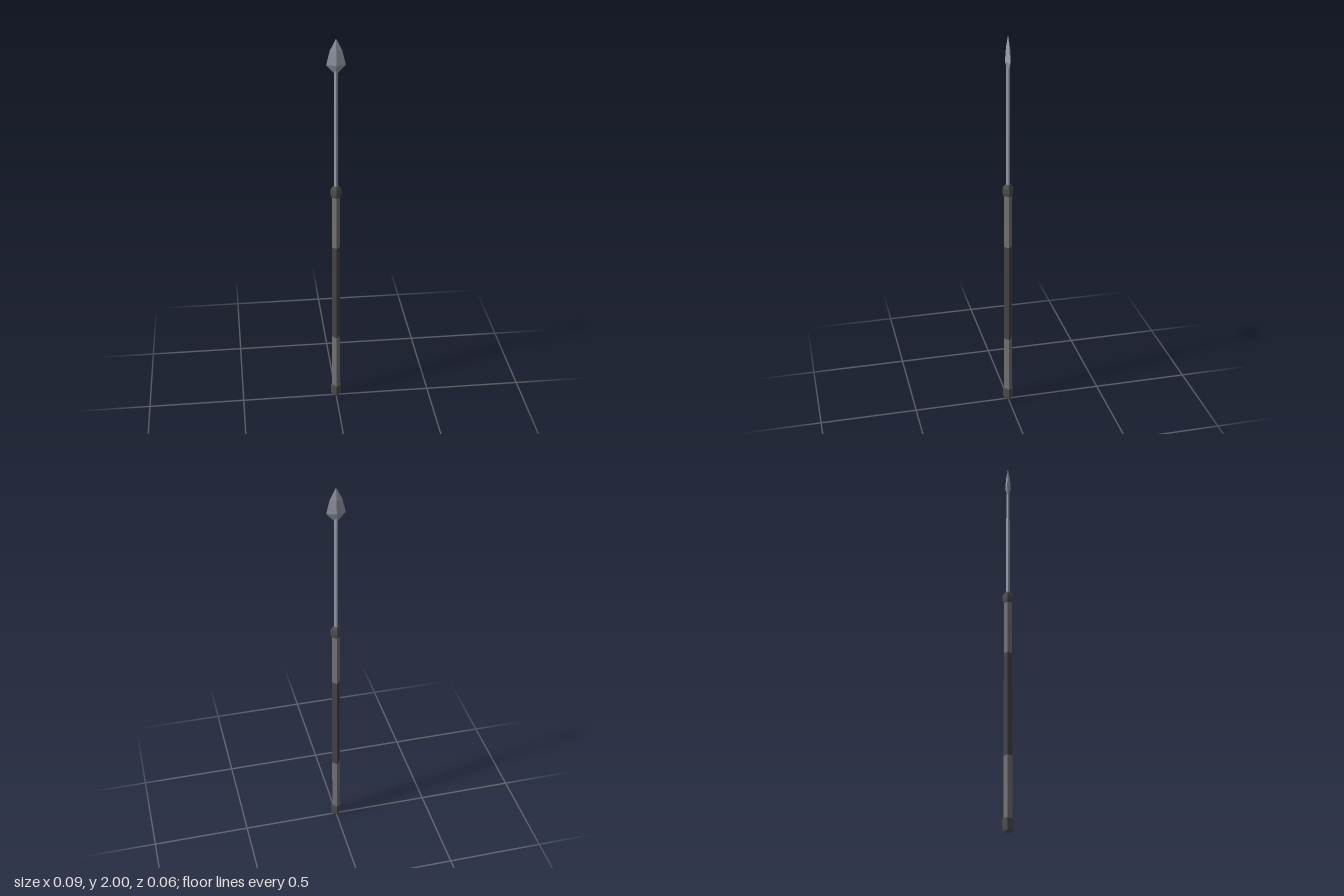
import * as THREE from 'three';

const flat = (name, color) => {
  const m = new THREE.MeshStandardMaterial({ color, flatShading: true });
  m.name = name;
  return m;
};

// Four-sided solid lofted through [radius, y] points, corners on the x and z axes
function lathe(name, points, material, depth = 1) {
  const profile = points.map(([r, y]) => new THREE.Vector2(r, y));
  const geometry = new THREE.LatheGeometry(profile, 4);
  geometry.scale(1, 1, depth);
  const mesh = new THREE.Mesh(geometry, material);
  mesh.name = name;
  return mesh;
}

export function createModel() {
  const steel = flat('steel', 0x9a9dab);
  const wood = flat('grey shaft', 0x747474);
  const wrap = flat('dark wrap', 0x454548);
  const iron = flat('dark iron', 0x4e4e4e);

  const spear = new THREE.Group();
  spear.name = 'spear';

  // Butt cap, with a short taper at the foot
  spear.add(lathe('buttCap', [[0, 0], [0.02, 0.005], [0.026, 0.015], [0.028, 0.068], [0.02, 0.072]], iron));

  // Shaft: two bare lengths with a dark grip between them
  const r = 0.021;
  spear.add(lathe('lowerShaft', [[r, 0.06], [r, 0.375]], wood));
  spear.add(lathe('grip', [[r, 0.375], [r, 0.91]], wrap));
  spear.add(lathe('upperShaft', [[r, 0.91], [r, 1.2]], wood));

  // Collar where the metal rod enters the shaft
  spear.add(lathe('collar', [[0.02, 1.19], [0.024, 1.19], [0.028, 1.21], [0.027, 1.233], [0.015, 1.25], [0, 1.25]], iron));

  // Thin metal rod
  spear.add(lathe('rod', [[0.01, 1.24], [0.009, 1.85]], steel));

  // Flattened leaf-shaped head with a central ridge
  spear.add(lathe('spearHead', [[0, 1.83], [0.012, 1.835], [0.046, 1.872], [0.03, 1.94], [0, 2]], steel, 0.33));

  return spear;
}
